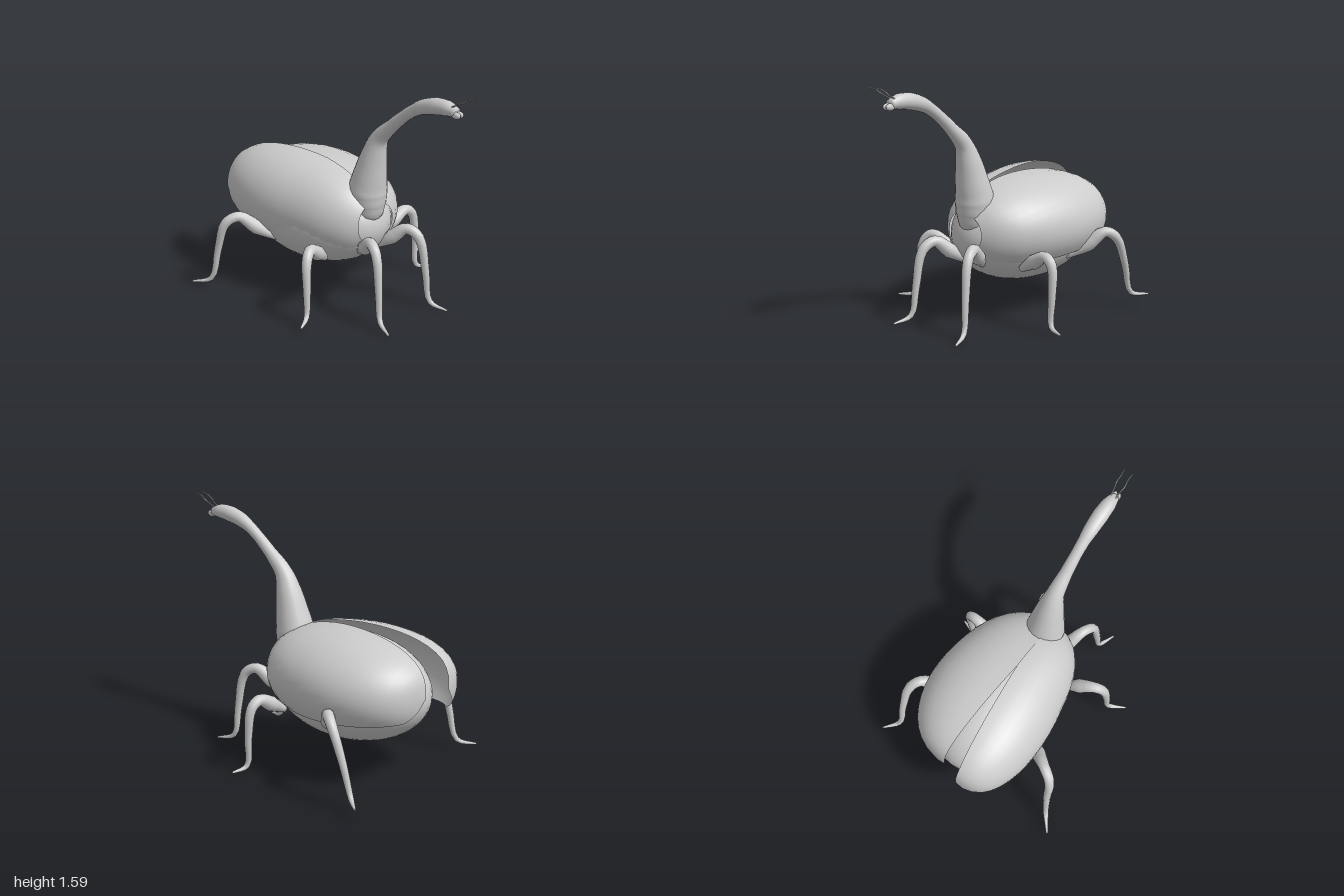
import * as THREE from 'three';

const mat = new THREE.MeshStandardMaterial({ color: 0xcccccc });
const thinMat = new THREE.MeshStandardMaterial({ color: 0xcccccc, side: THREE.DoubleSide });
const clamp = THREE.MathUtils.clamp;

function makeGeometry(positions, index) {
  const g = new THREE.BufferGeometry();
  g.setAttribute('position', new THREE.Float32BufferAttribute(positions, 3));
  g.setIndex(index);
  g.computeVertexNormals();
  return g;
}

// Closed round limb through the points, with a radius at each point
function limb(points, radii, ref, sides = 12, perSpan = 4) {
  const curve = new THREE.CatmullRomCurve3(points.map(p => new THREE.Vector3(...p)));
  const spans = points.length - 1, n = spans * perSpan;
  const pos = [], index = [];
  for (let k = -1; k <= n + 1; k++) {
    const t = clamp(k / n, 0, 1);
    const i = Math.min(Math.floor(t * spans), spans - 1);
    const r = k < 0 || k > n ? 0 : THREE.MathUtils.lerp(radii[i], radii[i + 1], t * spans - i);
    const c = curve.getPoint(t), T = curve.getTangent(t);
    const u = ref.clone().addScaledVector(T, -ref.dot(T)).normalize();
    const v = T.clone().cross(u);
    for (let j = 0; j < sides; j++) {
      const a = j / sides * Math.PI * 2;
      const p = c.clone().addScaledVector(u, r * Math.cos(a)).addScaledVector(v, r * Math.sin(a));
      pos.push(p.x, p.y, p.z);
      if (k <= n) {
        const row = (k + 1) * sides, a0 = row + j, b0 = row + (j + 1) % sides;
        index.push(a0, b0, a0 + sides, b0, b0 + sides, a0 + sides);
      }
    }
  }
  return makeGeometry(pos, index);
}

// Curved wing case: part of an egg shape from the top seam down to a sloping side edge
function wingCase({ side, rx, ry, zc, rz, splay, lift, fullness }) {
  const rows = 20, cols = 14, pos = [], index = [];
  for (let i = 0; i <= rows; i++) {
    const phi = THREE.MathUtils.degToRad(16 + 164 * i / rows);
    const z = zc + rz * Math.cos(phi);
    const sin = Math.max(Math.sin(phi), 0);
    const sx = Math.pow(sin, 0.82), sy = Math.pow(sin, 0.7);
    const back = (zc + rz - z) / (2 * rz);
    const seam = -0.01 + splay * clamp((-0.2 - z) / 0.75, 0, 1);
    const yc = 0.6 + lift * back;
    const edgeY = 0.37 + 0.1 * back;
    const low = -Math.asin(clamp((yc - edgeY) / (ry * sy + 1e-6), 0, 0.8));
    for (let j = 0; j <= cols; j++) {
      const th = THREE.MathUtils.lerp(Math.PI / 2, low, j / cols);
      const out = Math.pow(Math.max(Math.cos(th), 0), fullness);
      pos.push(seam + side * rx * sx * out, yc + ry * sy * Math.sin(th), z);
      if (i < rows && j < cols) {
        const a = i * (cols + 1) + j, b = a + 1, c = a + cols + 1, d = c + 1;
        if (side > 0) index.push(a, b, c, b, d, c);
        else index.push(a, c, b, b, c, d);
      }
    }
  }
  return makeGeometry(pos, index);
}

export function createModel() {
  const model = new THREE.Group();
  const add = (name, geometry, material = mat) => {
    const mesh = new THREE.Mesh(geometry, material);
    mesh.name = name;
    model.add(mesh);
    return mesh;
  };

  // Abdomen
  const body = add('abdomen', new THREE.SphereGeometry(1, 40, 28));
  body.scale.set(0.38, 0.34, 0.57);
  body.position.set(0.025, 0.55, -0.335);

  // Wing cases, the right one lifted and splayed
  add('leftWingCase', wingCase({ side: 1, rx: 0.48, ry: 0.32, zc: -0.345, rz: 0.59, splay: 0.06, lift: 0, fullness: 0.88 }), thinMat);
  add('rightWingCase', wingCase({ side: -1, rx: 0.353, ry: 0.33, zc: -0.385, rz: 0.615, splay: -0.08, lift: 0.035, fullness: 0.95 }), thinMat);

  // Long neck running into the head: y, z, radius
  const neck = [
    [0.6, 0.11, 0.06], [0.66, 0.135, 0.102], [0.72, 0.135, 0.12], [0.8, 0.135, 0.128], [0.9, 0.155, 0.112],
    [1.05, 0.19, 0.085], [1.17, 0.235, 0.058], [1.28, 0.345, 0.042], [1.37, 0.45, 0.037],
    [1.425, 0.53, 0.039], [1.46, 0.6, 0.047], [1.488, 0.7, 0.052], [1.495, 0.79, 0.047], [1.485, 0.86, 0.03],
  ];
  add('neckAndHead', limb(neck.map(([y, z]) => [0.02, y, z]), neck.map(p => p[2]), new THREE.Vector3(1, 0, 0), 18));

  // Jaws and antennae
  for (const s of [1, -1]) {
    const label = s > 0 ? 'left' : 'right';
    const jaw = add(label + 'Jaw', new THREE.SphereGeometry(1, 12, 8));
    jaw.scale.set(0.018, 0.022, 0.035);
    jaw.position.set(0.02 + s * 0.013, 1.472, 0.866);
    const path = [[0.016, 1.51, 0.82], [0.022, 1.54, 0.88], [0.03, 1.56, 0.91], [0.026, 1.585, 0.95], [0.03, 1.595, 0.998]];
    add(label + 'Antenna', limb(path.map(([x, y, z]) => [0.02 + s * x, y, z]),
      [0.005, 0.004, 0.005, 0.004, 0.003], new THREE.Vector3(1, 0, 0), 6, 3));
  }

  // Legs: hip, thigh, knee, shin top, mid shin, ankle, toe
  const frontLeg = [[0.085, 0.39, 0.13], [0.14, 0.465, 0.235], [0.185, 0.54, 0.33], [0.215, 0.49, 0.41], [0.235, 0.25, 0.455], [0.25, 0.05, 0.485], [0.29, 0.012, 0.6]];
  const legs = {
    leftFrontLeg: frontLeg,
    rightFrontLeg: frontLeg.map(([x, y, z], i) => [0.04 - x, y + (i > 4 ? 0.02 : 0), z]),
    leftMiddleLeg: [[0.29, 0.37, -0.01], [0.4, 0.435, 0], [0.5, 0.485, 0.01], [0.56, 0.44, 0.02], [0.577, 0.25, 0.035], [0.583, 0.06, 0.045], [0.68, 0.035, 0.078]],
    rightMiddleLeg: [[-0.23, 0.36, 0], [-0.33, 0.435, 0.04], [-0.42, 0.49, 0.07], [-0.475, 0.44, 0.1], [-0.5, 0.25, 0.125], [-0.52, 0.085, 0.14], [-0.62, 0.065, 0.2]],
    leftBackLeg: [[0.33, 0.38, -0.41], [0.44, 0.46, -0.505], [0.525, 0.545, -0.57], [0.57, 0.5, -0.64], [0.58, 0.3, -0.73], [0.585, 0.095, -0.8], [0.66, 0.08, -0.89]],
    rightBackLeg: [[-0.27, 0.38, -0.41], [-0.38, 0.46, -0.505], [-0.47, 0.54, -0.57], [-0.545, 0.5, -0.62], [-0.57, 0.3, -0.68], [-0.6, 0.08, -0.73], [-0.68, 0.05, -0.83]],
  };
  const legRadii = [0.022, 0.049, 0.036, 0.033, 0.025, 0.018, 0.007];
  for (const [name, path] of Object.entries(legs)) {
    const a = path[0], b = path[6];
    const across = new THREE.Vector3(b[2] - a[2], 0, a[0] - b[0]).normalize();
    add(name, limb(path, legRadii, across));
  }
  return model;
}
